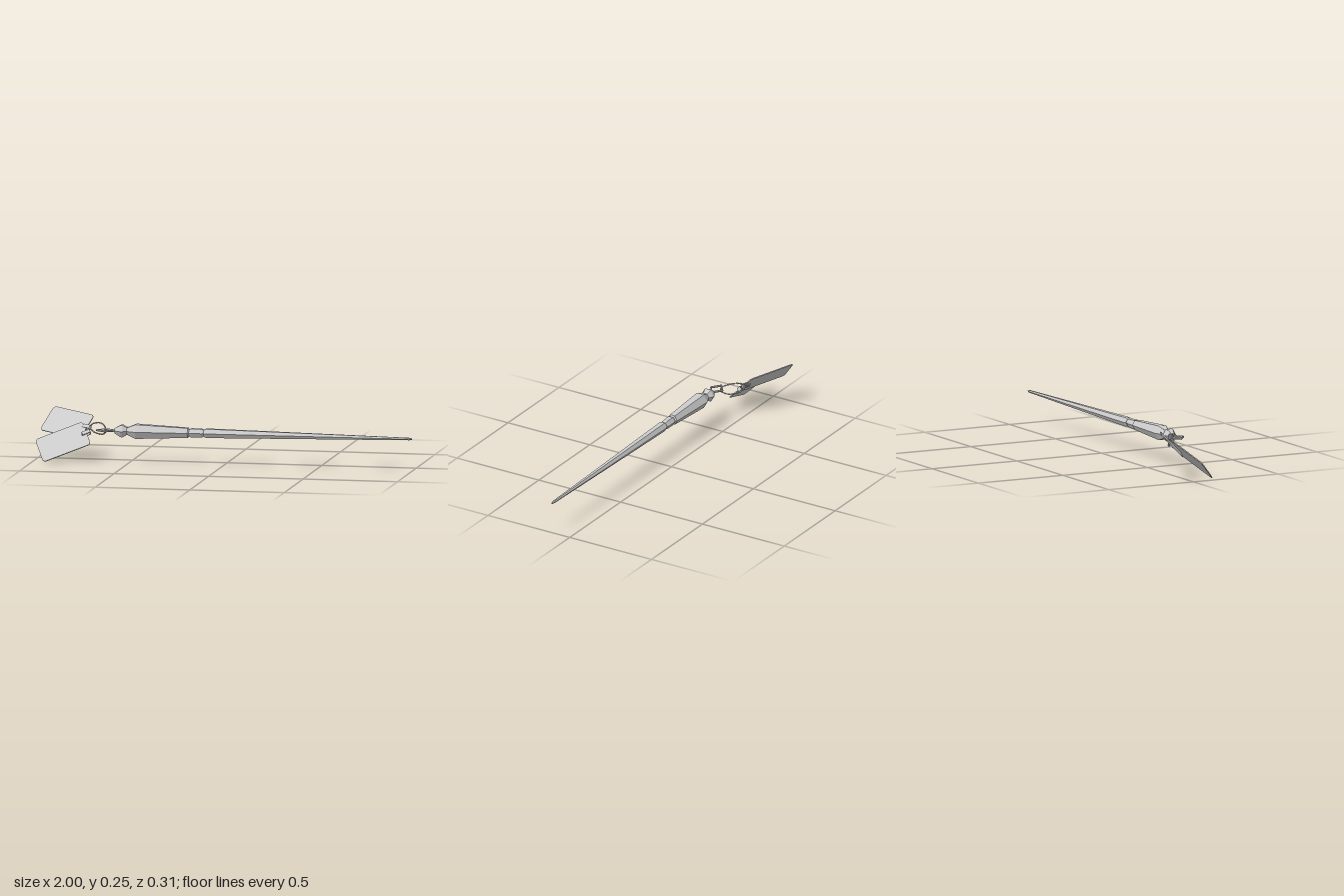
import * as THREE from 'three';

const metal = new THREE.MeshStandardMaterial({ color: 0xcccccc, flatShading: true });
const AXIS_Y = 0.172, AXIS_Z = 0.11;

function part(name, geometry, parent) {
  const mesh = new THREE.Mesh(geometry, metal);
  mesh.name = name;
  parent.add(mesh);
  return mesh;
}

// Six-sided turned piece along x, from [x, radius] pairs in ascending x
function turned(name, profile, parent) {
  const pts = profile.map(([x, r]) => new THREE.Vector2(r, x));
  const mesh = part(name, new THREE.LatheGeometry(pts, 6), parent);
  mesh.rotation.z = -Math.PI / 2;
  mesh.position.set(0, AXIS_Y, AXIS_Z);
}

function roundedRect(w, h, r) {
  const s = new THREE.Shape();
  s.absarc(w / 2 - r, h / 2 - r, r, 0, Math.PI / 2);
  s.absarc(-w / 2 + r, h / 2 - r, r, Math.PI / 2, Math.PI);
  s.absarc(-w / 2 + r, -h / 2 + r, r, Math.PI, Math.PI * 1.5);
  s.absarc(w / 2 - r, -h / 2 + r, r, Math.PI * 1.5, Math.PI * 2);
  return s;
}

// Flat tag with a hole and a folded clip at its +x end
function makeTag(name, center, along, across) {
  const tag = new THREE.Group();
  tag.name = name;
  const shape = roundedRect(0.264, 0.157, 0.018);
  const hole = new THREE.Path();
  hole.absarc(0.112, 0, 0.009, 0, Math.PI * 2, true);
  shape.holes.push(hole);
  const plate = new THREE.ExtrudeGeometry(shape, { depth: 0.005, bevelEnabled: false, curveSegments: 4 });
  part('tagPlate', plate.translate(0, 0, -0.0025), tag);

  const band = roundedRect(0.044, 0.022, 0.003);
  band.holes.push(new THREE.Path(roundedRect(0.036, 0.014, 0.002).getPoints(2).reverse()));
  const clipGeo = new THREE.ExtrudeGeometry(band, { depth: 0.02, bevelEnabled: false, curveSegments: 2 });
  clipGeo.translate(0, 0, -0.01).rotateX(Math.PI / 2);
  part('tagClip', clipGeo, tag).position.x = 0.13;

  const u = new THREE.Vector3(...along).normalize();
  const n = new THREE.Vector3().crossVectors(u, new THREE.Vector3(...across)).normalize();
  const v = new THREE.Vector3().crossVectors(n, u);
  tag.quaternion.setFromRotationMatrix(new THREE.Matrix4().makeBasis(u, v, n));
  tag.position.set(...center);
  return tag;
}

export function createModel() {
  const model = new THREE.Group();
  model.name = 'wandWithTags';

  // Turned wand, from tip back to pommel
  turned('shaft', [[-0.1, 0], [-0.1, 0.021], [-0.088, 0.027], [0.985, 0.007], [0.998, 0.004], [1, 0]], model);
  turned('collar', [[-0.182, 0], [-0.182, 0.019], [-0.168, 0.026], [-0.113, 0.025], [-0.098, 0.019], [-0.098, 0]], model);
  turned('handle', [[-0.492, 0], [-0.492, 0.028], [-0.46, 0.043], [-0.185, 0.029], [-0.178, 0.02], [-0.178, 0]], model);
  turned('pommel', [[-0.572, 0], [-0.572, 0.016], [-0.54, 0.036], [-0.53, 0.036], [-0.507, 0.022], [-0.485, 0.03], [-0.485, 0]], model);

  // Diamond-shaped link lying flat behind the pommel
  const link = part('diamondLink', new THREE.TorusGeometry(0.046, 0.006, 6, 4), model);
  link.geometry.scale(1.03, 0.78, 1).rotateX(Math.PI / 2);
  link.position.set(-0.62, AXIS_Y, AXIS_Z);

  // Beaded chain loop, made of stretched beads laid end to end
  const chain = new THREE.Group();
  chain.name = 'beadChain';
  const beads = 18;
  const point = (t) => {
    const a = t * Math.PI * 2, c = Math.cos(a), s = Math.sin(a);
    const bulge = 0.008 * s * s;
    return new THREE.Vector3(-0.675 + 0.05 * c + bulge, 0.171 + 0.03 * s, 0.047 + 0.044 * c - bulge);
  };
  const points = [];
  for (let i = 0; i < beads; i++) points.push(point(i / beads));
  const up = new THREE.Vector3(0, 1, 0);
  points.forEach((p, i) => {
    const dir = points[(i + 1) % beads].clone().sub(p);
    const length = dir.length();
    const bead = part('bead', new THREE.SphereGeometry(1, 6, 4), chain);
    bead.scale.set(0.0045, length * 0.55, 0.0045);
    bead.position.copy(p).addScaledVector(dir, 0.5);
    bead.quaternion.setFromUnitVectors(up, dir.normalize());
  });
  model.add(chain);

  // Pair of hanging tags
  model.add(makeTag('lowerTag', [-0.856, 0.098, 0.066], [0.232, 0.09, -0.055], [-0.055, 0.1, -0.1]));
  model.add(makeTag('upperTag', [-0.857, 0.183, -0.051], [0.23, -0.024, 0.115], [0.058, 0.11, -0.09]));
  return model;
}
